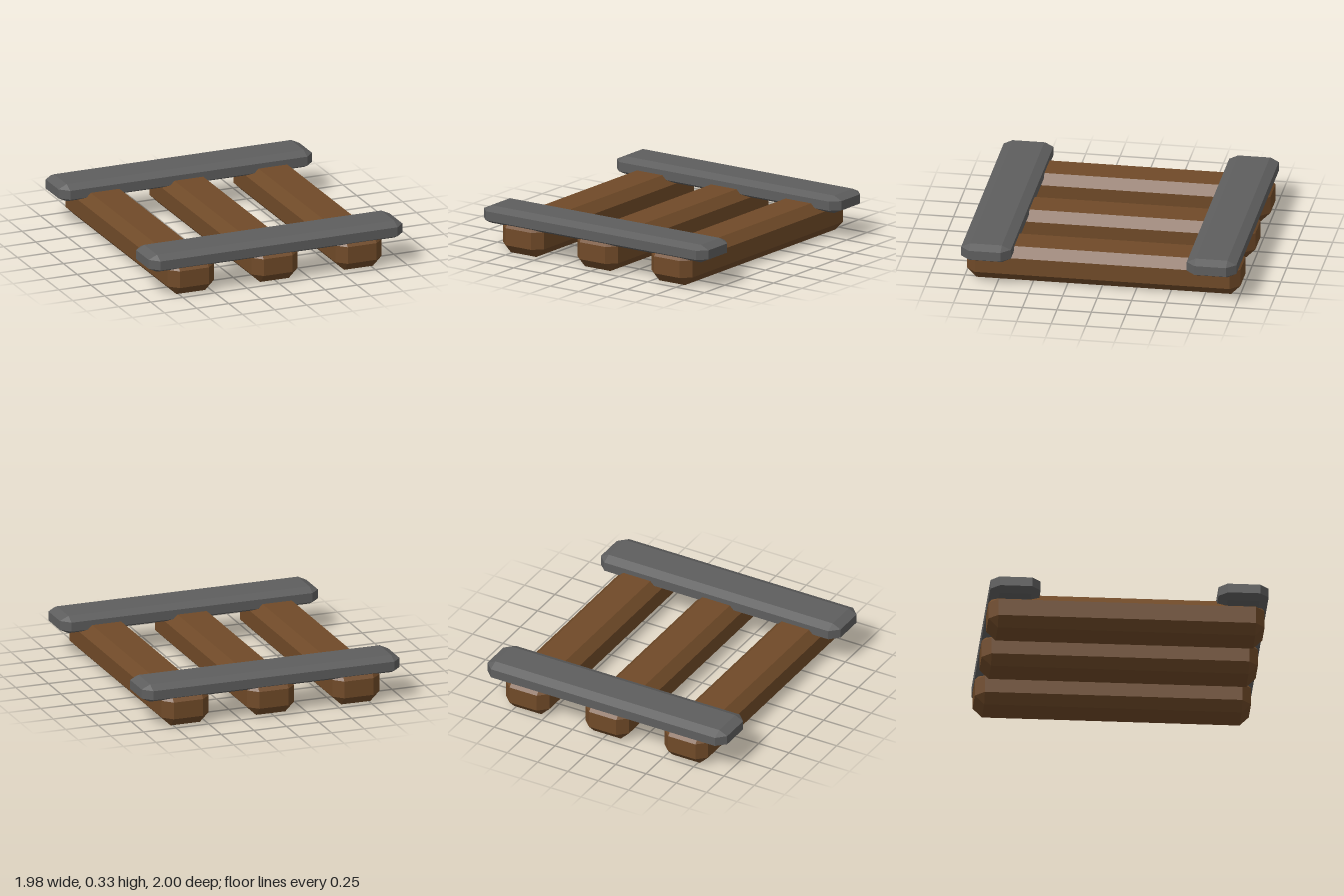
import * as THREE from 'three';
import { ConvexGeometry } from 'three/addons/geometries/ConvexGeometry.js';

// Box with every edge chamfered; c gives the chamfer along x, y and z
function chamferedBox([w, h, d], [cx, cy, cz]) {
  const points = [];
  for (const sx of [-1, 1]) for (const sy of [-1, 1]) for (const sz of [-1, 1]) {
    const x = w / 2, y = h / 2, z = d / 2;
    points.push(
      new THREE.Vector3(sx * x, sy * (y - cy), sz * (z - cz)),
      new THREE.Vector3(sx * (x - cx), sy * y, sz * (z - cz)),
      new THREE.Vector3(sx * (x - cx), sy * (y - cy), sz * z)
    );
  }
  return new ConvexGeometry(points);
}

export function createModel() {
  const group = new THREE.Group();
  const wood = new THREE.MeshStandardMaterial({ color: 0x704a28, flatShading: true });
  const slate = new THREE.MeshStandardMaterial({ color: 0x5e5e5e, flatShading: true });

  const add = (name, geometry, material, x, y, z) => {
    const mesh = new THREE.Mesh(geometry, material);
    mesh.name = name;
    mesh.position.set(x, y, z);
    group.add(mesh);
  };

  // Three thick timbers running front to back
  const beam = chamferedBox([0.36, 0.26, 1.982], [0.068, 0.067, 0.067]);
  [['rightBeam', -0.652], ['middleBeam', 0], ['leftBeam', 0.655]].forEach(([name, x]) =>
    add(name, beam, wood, x, 0.13, -0.009));

  // Two flat cross planks laid over the beam ends
  const plank = chamferedBox([1.976, 0.13, 0.36], [0.065, 0.031, 0.065]);
  add('frontPlank', plank, slate, 0, 0.263, 0.819);
  add('backPlank', plank, slate, 0, 0.263, -0.817);

  return group;
}
